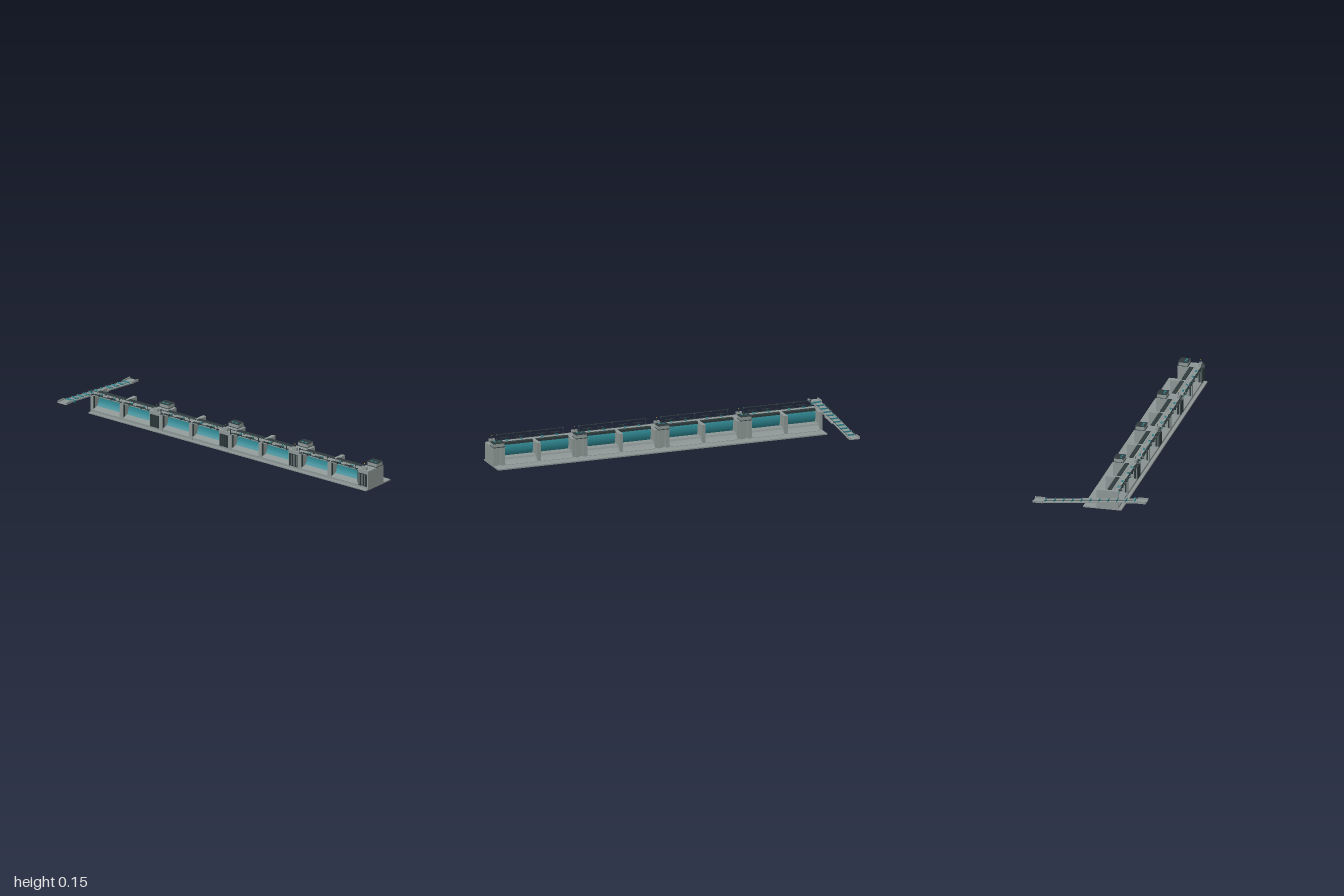
import * as THREE from 'three';

const paint = (name, color) => {
  const m = new THREE.MeshStandardMaterial({ color });
  m.name = name;
  return m;
};

export function createModel() {
  const concrete = paint('concrete grey', 0x8c9694);
  const teal = paint('gate teal', 0x2f8792);
  const dark = paint('dark steel', 0x2d3a3c);
  const yellow = paint('lamp yellow', 0xc8a52c);

  const root = new THREE.Group();
  root.name = 'barrage';

  const add = (parent, name, geo, mat) => {
    const mesh = new THREE.Mesh(geo, mat);
    mesh.name = name;
    parent.add(mesh);
    return mesh;
  };
  // Box given by its limits on each axis
  const box = (parent, name, mat, x0, x1, y0, y1, z0, z1) => {
    const geo = new THREE.BoxGeometry(x1 - x0, y1 - y0, z1 - z0);
    geo.translate((x0 + x1) / 2, (y0 + y1) / 2, (z0 + z1) / 2);
    return add(parent, name, geo, mat);
  };
  // Side profile of [z, y] points swept from x0 to x1
  const sweep = (parent, name, mat, points, x0, x1) => {
    const shape = new THREE.Shape(points.map(([z, y]) => new THREE.Vector2(z, y)));
    const geo = new THREE.ExtrudeGeometry(shape, { depth: x1 - x0, bevelEnabled: false });
    geo.rotateY(-Math.PI / 2).translate(x1, 0, 0);
    return add(parent, name, geo, mat);
  };

  // Hollow-faced gate skin set back between the piers
  const outer = [], inner = [];
  for (let i = 0; i <= 10; i++) {
    const t = i / 10;
    const z = 0.088 + 0.05 * (t - 0.6) ** 2, y = 0.028 + 0.076 * t;
    outer.push([z, y]);
    inner.unshift([z - 0.008, y]);
  }
  const gateProfile = [...outer, ...inner];
  const weirProfile = [
    [0.006, 0.006], [0.14, 0.006], [0.14, 0.02], [0.104, 0.031], [0.08, 0.04],
    [0.038, 0.04], [0.034, 0.03], [0.024, 0.018], [0.006, 0.009],
  ];

  const buildBay = (parent, x0, x1) => {
    const bay = new THREE.Group();
    bay.name = 'gateBay';
    parent.add(bay);
    sweep(bay, 'weir', concrete, weirProfile, x0, x1);
    sweep(bay, 'gate', teal, gateProfile, x0, x1);
    box(bay, 'topBeam', dark, x0, x1, 0.1, 0.112, 0.076, 0.098);
    box(bay, 'frontDeck', concrete, x0, x1, 0.103, 0.108, 0.098, 0.143);
    box(bay, 'deckEdge', dark, x0, x1, 0.108, 0.111, 0.139, 0.142);
    // Gate guides beside the piers
    for (const x of [x0, x1 - 0.004]) box(bay, 'gateGuide', dark, x, x + 0.004, 0.028, 0.103, 0.128, 0.136);
    // Hoist bars over the deck edge
    const w = x1 - x0;
    for (const f of [0.27, 0.73]) {
      const c = x0 + f * w;
      box(bay, 'hoistBar', dark, c - 0.028, c + 0.028, 0.117, 0.121, 0.15, 0.154);
      box(bay, 'hoistPost', dark, c - 0.002, c + 0.002, 0.108, 0.12, 0.14, 0.153);
      box(bay, 'hoistMotor', teal, c - 0.005, c + 0.005, 0.108, 0.115, 0.121, 0.13);
    }
    // Deck ribs
    for (let i = 0; i < 12; i++) {
      const x = x0 + (i + 0.5) * w / 12;
      box(bay, 'deckRib', concrete, x - 0.002, x + 0.002, 0.108, 0.11, 0.104, 0.118);
    }
  };

  const buildTower = (parent, x0, x1) => {
    const tower = new THREE.Group();
    tower.name = 'tower';
    parent.add(tower);
    box(tower, 'towerBody', concrete, x0, x1, 0.006, 0.107, 0.026, 0.14);
    // Twin rear columns with a recess between them
    box(tower, 'rearColumn', concrete, x0 + 0.006, x0 + 0.028, 0.006, 0.107, 0.008, 0.026);
    box(tower, 'rearColumn', concrete, x1 - 0.024, x1, 0.006, 0.107, 0.008, 0.026);
    box(tower, 'towerRoof', concrete, x0, x1, 0.107, 0.109, 0.006, 0.14);
    box(tower, 'roofLip', dark, x0 + 0.003, x1, 0.109, 0.111, 0.006, 0.067);
    box(tower, 'machineRoom', concrete, x0 + 0.006, x1 - 0.002, 0.109, 0.13, 0.013, 0.063);
    box(tower, 'machineRoof', dark, x0 + 0.003, x1, 0.13, 0.132, 0.01, 0.066);
    for (const f of [0.35, 0.7]) {
      const c = x0 + f * (x1 - x0);
      box(tower, 'roofHatch', teal, c - 0.007, c + 0.007, 0.132, 0.134, 0.044, 0.054);
    }
    box(tower, 'controlBox', concrete, x0 + 0.02, x1 - 0.02, 0.109, 0.126, 0.12, 0.135);
    // Intake screen of pale strips between deep dark fins
    const p0 = x0 + 0.008, p1 = x1 - 0.008, step = (p1 - p0 - 0.005) / 5;
    box(tower, 'intakePanel', dark, p0, p1, 0.02, 0.09, 0.14, 0.141);
    for (let i = 0; i < 6; i++) {
      const x = p0 + i * step;
      box(tower, 'intakeFin', dark, x, x + 0.005, 0.02, 0.09, 0.141, 0.145);
      if (i < 5) box(tower, 'intakeStrip', concrete, x + 0.006, x + step - 0.001, 0.024, 0.086, 0.141, 0.1415);
    }
    // Signal lamp
    const lampX = (x0 + x1) / 2;
    box(tower, 'lampPole', dark, lampX - 0.001, lampX + 0.001, 0.126, 0.144, 0.126, 0.128);
    add(tower, 'signalLamp', new THREE.SphereGeometry(0.0025, 10, 8), yellow).position.set(lampX, 0.144, 0.127);
  };

  const buildRail = (parent, x0, x1) => {
    const rail = new THREE.Group();
    rail.name = 'frontRail';
    parent.add(rail);
    const pipe = new THREE.CylinderGeometry(0.0022, 0.0022, x1 - x0, 8).rotateZ(Math.PI / 2);
    add(rail, 'railPipe', pipe, dark).position.set((x0 + x1) / 2, 0.137, 0.154);
    for (let i = 0; i <= 4; i++) {
      const x = x0 + i * (x1 - x0) / 4;
      const wheel = new THREE.CylinderGeometry(0.0055, 0.0055, 0.005, 12).rotateZ(Math.PI / 2);
      add(rail, 'railPulley', wheel, dark).position.set(x, 0.136, 0.154);
      const hub = new THREE.CylinderGeometry(0.003, 0.003, 0.007, 10).rotateZ(Math.PI / 2);
      add(rail, 'pulleyHub', hub, teal).position.set(x, 0.136, 0.154);
      if (i % 2) continue;
      box(rail, 'railPost', dark, x - 0.0015, x + 0.0015, 0.112, 0.137, 0.153, 0.155);
      box(rail, 'railBracket', dark, x - 0.002, x + 0.002, 0.108, 0.113, 0.138, 0.155);
    }
  };

  // Four repeated sections of two gates and one tower
  const pitch = 0.4775;
  for (let i = 0; i < 4; i++) {
    const L = -0.91 + i * pitch, R = L + pitch;
    const section = new THREE.Group();
    section.name = 'section';
    root.add(section);
    box(section, 'baseSlab', concrete, L, R - 0.001, 0, 0.007, -0.056, 0.158);
    for (const [name, x, w] of [['endPier', L, 0.016], ['middlePier', L + 0.2, 0.022]]) {
      box(section, name, concrete, x, x + w, 0.006, 0.108, 0.018, 0.141);
    }
    buildBay(section, L + 0.016, L + 0.2);
    buildBay(section, L + 0.222, L + 0.406);
    buildTower(section, L + 0.406, R);
    buildRail(section, L + 0.018, L + 0.404);
  }

  // Sloping side channel
  const channel = new THREE.Group();
  channel.name = 'sideChannel';
  channel.position.set(-0.97, 0.066, 0);
  root.add(channel);
  const run = new THREE.Group();
  run.name = 'slopingRun';
  run.rotation.x = -0.096;
  channel.add(run);
  box(run, 'channelFloor', concrete, -0.023, 0.023, -0.004, 0, -0.265, 0.265);
  for (const s of [-1, 1]) {
    box(run, 'stringer', concrete, s * 0.024 - 0.002, s * 0.024 + 0.002, -0.004, 0.002, -0.265, 0.265);
    box(run, 'handRail', dark, s * 0.024 - 0.0007, s * 0.024 + 0.0007, 0.009, 0.01, -0.255, 0.245);
  }
  for (let i = 0; i <= 10; i++) {
    const z = -0.25 + i * 0.05;
    box(run, 'baffle', teal, -0.022, 0.022, 0, 0.008, z - 0.0017, z + 0.0017);
    for (const s of [-1, 1]) {
      box(run, 'handRailPost', concrete, s * 0.024 - 0.001, s * 0.024 + 0.001, 0.002, 0.009, z - 0.001, z + 0.001);
    }
  }
  // Bracket on the side facing the barrage
  box(run, 'wallBracket', concrete, 0.026, 0.034, -0.004, 0.002, -0.055, 0.055);
  // Level trays at both ends of the channel
  for (const [z0, z1, y] of [[0.259, 0.315, 0.021], [-0.315, -0.259, -0.029]]) {
    box(channel, 'endTray', concrete, -0.028, 0.028, y, y + 0.005, z0, z1);
    for (const s of [-1, 1]) {
      box(channel, 'trayWall', concrete, s * 0.027 - 0.003, s * 0.027 + 0.003, y, y + 0.013, z0, z1);
    }
  }
  box(channel, 'driveBox', teal, 0.027, 0.033, 0.017, 0.03, 0.237, 0.248);

  return root;
}
